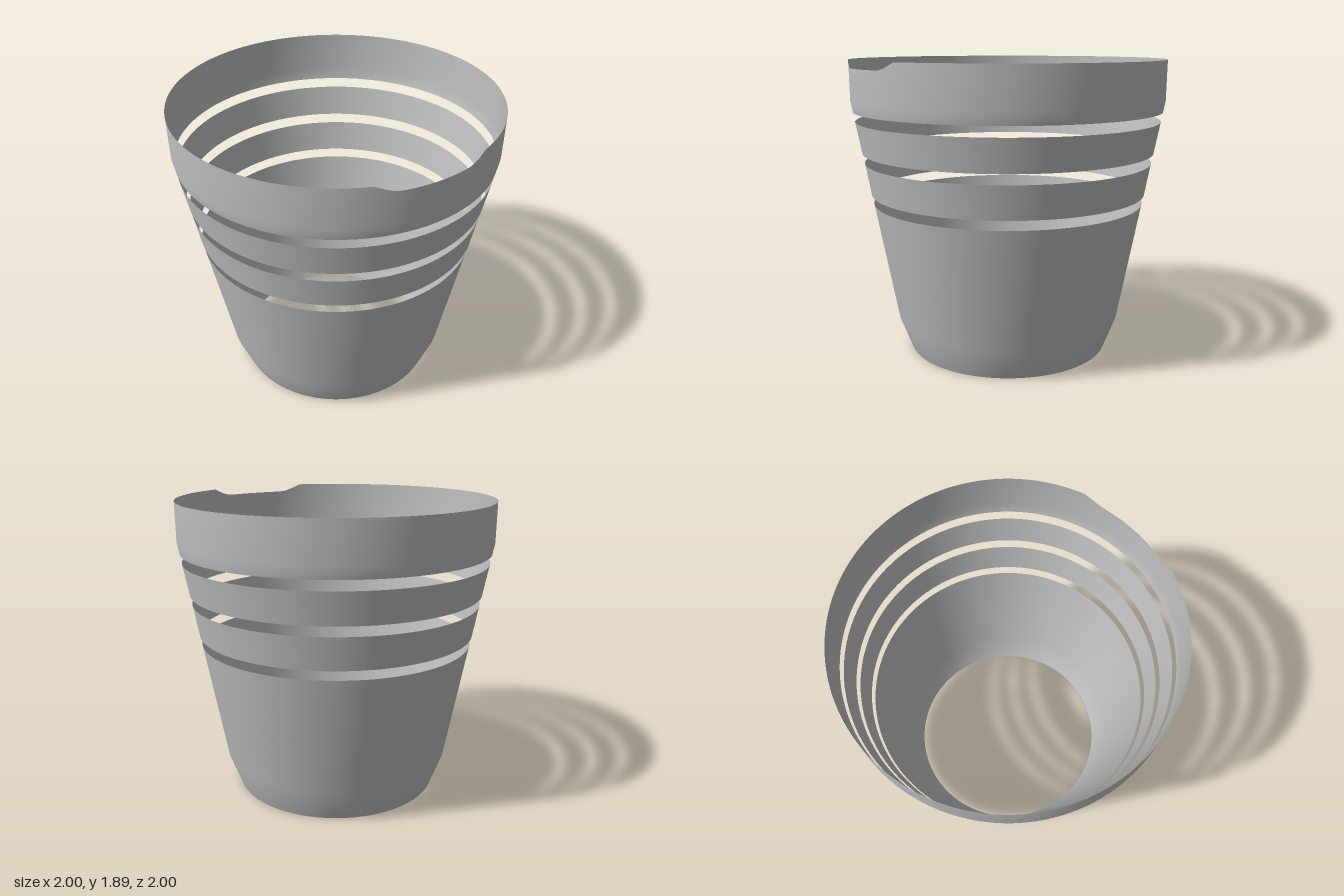
import * as THREE from 'three';

const SEGMENTS = 192;

export function createModel() {
  const model = new THREE.Group();
  model.name = 'slottedCup';

  const grey = new THREE.MeshStandardMaterial({ color: 0xc0c0c0, side: THREE.DoubleSide });
  grey.name = 'grey';

  // Thin open shell turned from [radius, height] points, bottom to top
  const addShell = (name, profile) => {
    const points = profile.map(([r, y]) => new THREE.Vector2(r, y));
    const mesh = new THREE.Mesh(new THREE.LatheGeometry(points, SEGMENTS), grey);
    mesh.name = name;
    model.add(mesh);
    return mesh;
  };

  // Tapered body with a chamfered, open foot
  addShell('body', [[0.655, 0], [0.735, 0.21], [0.875, 0.98]]);

  // Two separate bands continuing the taper
  addShell('lowerBand', [[0.888, 1.04], [0.924, 1.245]]);
  addShell('upperBand', [[0.937, 1.308], [0.974, 1.508]]);

  // Rim, with a shallow notch cut in its top edge at the front
  const top = 1.89;
  const rim = addShell('rim', [[0.985, 1.57], [0.998, 1.64], [1, top]]);
  const pos = rim.geometry.attributes.position;
  const notchOuter = 0.357, notchInner = 0.21, depth = 0.048;
  for (let i = 0; i < pos.count; i++) {
    if (pos.getY(i) < top - 0.01) continue;
    const angle = Math.abs(Math.atan2(pos.getX(i), pos.getZ(i)));
    const t = THREE.MathUtils.clamp((notchOuter - angle) / (notchOuter - notchInner), 0, 1);
    pos.setY(i, top - depth * (1 - Math.pow(1 - t, 1.6)));
  }

  return model;
}
